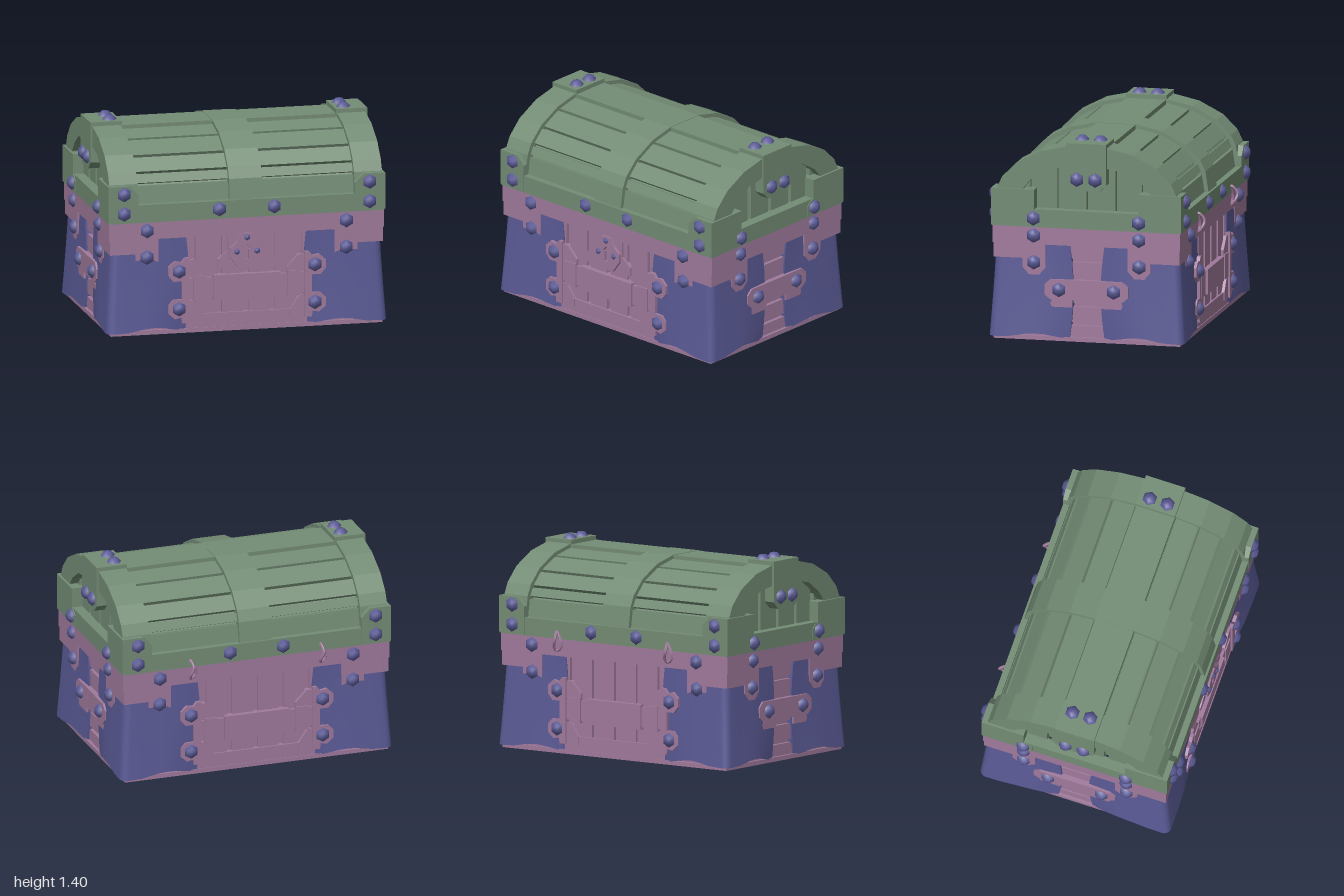
import * as THREE from 'three';
import { toCreasedNormals } from 'three/addons/utils/BufferGeometryUtils.js';

const flat = color => new THREE.MeshStandardMaterial({ color, flatShading: true });
const green = flat(0x738c74), pink = flat(0xa07a9c);
const blue = new THREE.MeshStandardMaterial({ color: 0x5a5a96, side: THREE.DoubleSide });
const boltBlue = new THREE.MeshStandardMaterial({ color: 0x5a5a96 });
const V2 = ([x, y]) => new THREE.Vector2(x, y);
const mirror = (pts, s) => pts.map(([x, y]) => [s * x, y]);
const closed = half => [...half, ...mirror(half, -1).reverse()];

function add(parent, name, geometry, material, x = 0, y = 0, z = 0) {
  const mesh = new THREE.Mesh(geometry, material);
  mesh.name = name;
  mesh.position.set(x, y, z);
  parent.add(mesh);
  return mesh;
}
function box(parent, name, material, x0, x1, y0, y1, z0, z1) {
  return add(parent, name, new THREE.BoxGeometry(x1 - x0, y1 - y0, z1 - z0), material,
    (x0 + x1) / 2, (y0 + y1) / 2, (z0 + z1) / 2);
}
function extrude(pts, depth, hole) {
  const shape = new THREE.Shape(pts.map(V2));
  if (hole) shape.holes.push(new THREE.Path(hole.map(V2)));
  return new THREE.ExtrudeGeometry(shape, { depth, bevelEnabled: false });
}
// Flat plate whose outer face lies at the given distance
const plate = (parent, name, material, pts, dist, t, hole) =>
  add(parent, name, extrude(pts, t, hole), material, 0, 0, dist - t);

// Horizontal rectangular ring
function ring(parent, name, material, w, d, y0, y1, t) {
  const rect = (a, b) => [[-a, -b], [a, -b], [a, b], [-a, b]];
  const g = extrude(rect(w, d), y1 - y0, rect(w - t, d - t)).rotateX(-Math.PI / 2);
  add(parent, name, g, material, 0, y0, 0);
}

// Six-sided domed bolt, pointing along +z
const boltGeo = new THREE.LatheGeometry(
  [[0.05, -0.015], [0.05, 0.006], [0.026, 0.032], [0, 0.035]].map(V2), 6).rotateX(Math.PI / 2);
function bolt(parent, x, y, z, scale = 1) {
  const b = add(parent, 'bolt', boltGeo, boltBlue, x, y, z);
  b.scale.setScalar(scale);
  return b;
}

// Leather corner wrap: path runs from the front edge round the corner to the side edge
function cornerWrap(parent, sx, sz) {
  const nu = 24, nv = 12, r = 0.05;
  const g = new THREE.PlaneGeometry(1, 1, nu, nv), p = g.attributes.position;
  for (let i = 0; i < p.count; i++) {
    const u = i % (nu + 1), v = Math.floor(i / (nu + 1)) / nv;
    const flare = 0.038 * Math.pow(v, 1.2), fold = 0.015 * (2 * v - 1) ** 2;
    const xi = 0.395 + fold * 1.5, zi = 0.095 + fold * 1.8;
    const X = 0.932, Z = 0.638;
    let x, z, w;
    if (u <= 9) {
      const t = Math.max(0, u - 1) / 8;
      x = xi + (X - r - xi) * t; z = u ? Z : 0.6; w = t;
    } else if (u >= 15) {
      const t = Math.min(1, (u - 15) / 8);
      z = Z - r + (zi - Z + r) * t; x = u === nu ? 0.89 : X; w = 1 - t;
    } else {
      const a = (u - 9) / 6 * Math.PI / 2;
      x = X - r + r * Math.sin(a); z = Z - r + r * Math.cos(a); w = 1;
    }
    const grow = flare * Math.sin(Math.min(1, w * 1.6) * Math.PI / 2);
    if (u >= 9) x += grow;
    if (u <= 15) z += grow;
    const hem = 0.02 + 0.03 * Math.max(0, Math.sin(w * Math.PI)) ** 2;
    p.setXYZ(i, sx * x, 0.67 + (hem - 0.67) * v, sz * z);
  }
  if (sx * sz < 0) {
    const id = g.index.array;
    for (let i = 0; i < id.length; i += 3) [id[i], id[i + 1]] = [id[i + 1], id[i]];
  }
  add(parent, 'cornerWrap', toCreasedNormals(g, 0.8), blue);
}

// Corner fittings shared by all four faces; w is the half width, d the face distance, t the tab position
function cornerFittings(face, w, d, t, lidPts) {
  for (const s of [-1, 1]) {
    plate(face, 'rimBracket', pink, mirror([[w - 0.014, 0.7], [t - 0.08, 0.7], [t - 0.08, 0.5], [t - 0.035, 0.45],
      [t + 0.035, 0.45], [t + 0.08, 0.5], [t + 0.08, 0.56], [w - 0.014, 0.56]], s), d - 0.01, 0.04);
    bolt(face, s * t, 0.72, d - 0.002);
    bolt(face, s * t, 0.535, d - 0.008);
    plate(face, 'lidCorner', green, mirror(lidPts, s), d + 0.005, 0.1);
  }
}

// Long wall: vertical planks, carrying handle and its brackets
function longWall(face) {
  box(face, 'wallBacking', pink, -0.91, 0.91, 0, 0.7, 0.604, 0.608);
  for (let i = -5; i < 5; i++)
    box(face, 'wallPlank', pink, i * 0.184 + 0.018, (i + 1) * 0.184 - 0.018, 0, 0.7, 0.598, 0.63);
  box(face, 'bottomBoard', pink, -0.42, 0.42, 0, 0.125, 0.605, 0.643);
  box(face, 'handleGrip', pink, -0.23, 0.23, 0.22, 0.39, 0.61, 0.665);
  box(face, 'handleBar', pink, -0.4, 0.4, 0.235, 0.375, 0.61, 0.65);
  for (const s of [-1, 1]) {
    box(face, 'handleLug', pink, s * 0.325 - 0.045, s * 0.325 + 0.045, 0.22, 0.39, 0.61, 0.66);
    plate(face, 'handleBracket', pink, mirror([[0.4, 0.07], [0.45, 0.07], [0.455, 0.11], [0.5, 0.1], [0.545, 0.14],
      [0.545, 0.2], [0.51, 0.235], [0.45, 0.235], [0.45, 0.36], [0.51, 0.36], [0.545, 0.4], [0.545, 0.46],
      [0.5, 0.5], [0.455, 0.49], [0.43, 0.52], [0.4, 0.52]], s), 0.664, 0.05);
    plate(face, 'bracketFoot', pink, mirror([[0.41, 0.07], [0.41, 0.22], [0.37, 0.22], [0.3, 0.125], [0.3, 0.07]], s), 0.65, 0.04);
    plate(face, 'bracketShoulder', pink, mirror([[0.41, 0.38], [0.41, 0.5], [0.36, 0.5], [0.28, 0.42], [0.28, 0.38]], s), 0.65, 0.04);
    for (const y of [0.17, 0.43]) bolt(face, s * 0.47, y, 0.662);
    bolt(face, s * 0.85, 0.98, 0.66);
    bolt(face, s * 0.85, 0.845, 0.66);
    bolt(face, s * 0.19, 0.845, 0.656);
  }
  cornerFittings(face, 0.955, 0.655, 0.69, [[0.955, 0.785], [0.955, 1.035], [0.81, 1.035], [0.75, 0.975], [0.75, 0.785]]);
}

// Short wall: horizontal planks, belt plate and arched lid end
function shortWall(face) {
  box(face, 'sideBacking', pink, -0.61, 0.61, 0, 0.7, 0.89, 0.895);
  const cuts = [0, 0.12, 0.25, 0.4, 0.555, 0.71];
  for (let i = 0; i < 5; i++)
    box(face, 'sidePlank', pink, -0.61, 0.61, cuts[i] + 0.012, cuts[i + 1] - 0.012, 0.885, 0.92);
  plate(face, 'beltPlate', pink, closed([[0.25, 0.285], [0.29, 0.32], [0.29, 0.39], [0.25, 0.425]]), 0.955, 0.06);
  for (const s of [-1, 1]) {
    plate(face, 'beltFoot', pink, mirror([[0.1, 0.235], [0.25, 0.235], [0.25, 0.265], [0.235, 0.29], [0.1, 0.29]], s), 0.948, 0.05);
    bolt(face, s * 0.19, 0.355, 0.955);
    bolt(face, s * 0.365, 0.84, 0.962);
    bolt(face, s * 0.063, 1.12, 0.96);
    const top = bolt(face, s * 0.063, 1.363, 0.81);
    top.rotation.x = -Math.PI / 2;
    // Upright planks of the lid end
    for (const [a, b, h] of [[0.015, 0.186, 1.25], [0.218, 0.368, 1.22], [0.405, 0.56, 1.11]])
      box(face, 'lidEndPlank', green, Math.min(s * a, s * b), Math.max(s * a, s * b), 0.8, h, 0.83, 0.885);
  }
  cornerFittings(face, 0.66, 0.955, 0.365, [[0.66, 0.785], [0.66, 1.035], [0.36, 1.035], [0.36, 0.9],
    [0.335, 0.89], [0.3, 0.86], [0.3, 0.785]]);
  plate(face, 'lidEndBacking', green, closed(archOffset(0.06)), 0.85, 0.012);
  plate(face, 'lidEndArch', green, [...closed(arch),
    ...closed([[0.46, 0.9], [0.44, 1.04], [0.39, 1.1], [0.27, 1.18], [0.14, 1.2]]).reverse()], 0.945, 0.195);
  plate(face, 'archKeystone', green, closed([[0.09, 1.04], [0.14, 1.09], [0.14, 1.367]]), 0.96, 0.09);
  box(face, 'archCap', green, -0.14, 0.14, 1.29, 1.367, 0.742, 0.96);
}

// Half profile of the lid arch, from rim to crown
const arch = [[0.645, 0.88], [0.62, 1.04], [0.585, 1.115], [0.485, 1.215], [0.32, 1.3], [0.14, 1.34]];
const archOffset = d => arch.map(([z, y]) => [z * (1 - d / 0.6), 0.75 + (y - 0.75) * (1 - d / 0.6)]);

function lidTop(parent) {
  const vault = (name, a, b, half) => add(parent, name,
    extrude([...closed(archOffset(a)), ...closed(archOffset(b)).reverse()], 2 * half).rotateY(Math.PI / 2), green, -half);
  vault('lidShell', 0.05, 0.065, 0.76);
  vault('centreBand', 0, 0.06, 0.115);
  // One board per facet, sunk below the bands except at the crown
  const pts = archOffset(0.025);
  for (const s of [-1, 1]) for (let i = 0; i < 5; i++) {
    const [[z0, y0], [z1, y1]] = [pts[i], pts[i + 1]];
    const len = Math.hypot(z1 - z0, y1 - y0);
    const g = new THREE.BoxGeometry(1.52, 0.035, len - 0.022).translate(0, -0.0175, 0);
    const m = add(parent, 'lidBoard', g, green, 0, (y0 + y1) / 2, s * (z0 + z1) / 2);
    m.rotation.x = s * Math.atan2(y1 - y0, z0 - z1);
  }
  box(parent, 'crownBoard', green, -0.76, 0.76, 1.275, 1.337, -0.137, 0.137);
}

function lock(face) {
  const half = [[0.06, 0.43], [0.118, 0.51], [0.118, 0.57], [0.07, 0.61], [0.04, 0.67]];
  const arrow = [[0.012, 0.49], [0.012, 0.56], [0.028, 0.56], [0, 0.6], [-0.028, 0.56], [-0.012, 0.56], [-0.012, 0.49]];
  plate(face, 'lockBase', pink, closed([[0.2, 0.43], [0.2, 0.49], [0.13, 0.55], [0.13, 0.67]]), 0.642, 0.03);
  plate(face, 'lockPlate', pink, closed(half), 0.662, 0.03, arrow);
  for (const [x, y] of [[0, 0.64], [-0.07, 0.545], [0.07, 0.545]]) bolt(face, x, y, 0.662, 0.42);
}

function hinge(face, x) {
  const path = new THREE.CatmullRomCurve3([[-0.01, 0.83, 0.657], [0, 0.8, 0.69], [0, 0.77, 0.7], [-0.015, 0.73, 0.687],
    [-0.01, 0.7, 0.665], [0.02, 0.715, 0.66], [0.025, 0.76, 0.662]]
    .map(([dx, y, z]) => new THREE.Vector3(x + dx, y, z)), true);
  add(face, 'hingeLoop', new THREE.TubeGeometry(path, 28, 0.01, 6, true), pink);
}

export function createModel() {
  const model = new THREE.Group(), chest = new THREE.Group();
  model.name = 'treasureChest';
  chest.name = 'chest';
  chest.position.z = 0.006;
  model.add(chest);

  ring(chest, 'baseSkirt', pink, 0.94, 0.648, 0, 0.03, 0.045);
  ring(chest, 'bodyRim', pink, 0.953, 0.65, 0.66, 0.778, 0.07);
  ring(chest, 'lidRim', green, 0.955, 0.657, 0.778, 0.9, 0.08);
  for (const sx of [-1, 1]) for (const sz of [-1, 1]) cornerWrap(chest, sx, sz);
  lidTop(chest);

  ['front', 'left', 'back', 'right'].forEach((name, i) => {
    const face = new THREE.Group();
    face.name = name + 'Face';
    face.rotation.y = i * Math.PI / 2;
    chest.add(face);
    i % 2 ? shortWall(face) : longWall(face);
    if (name === 'front') lock(face);
    if (name === 'back') for (const s of [-1, 1]) hinge(face, s * 0.465);
  });
  return model;
}
